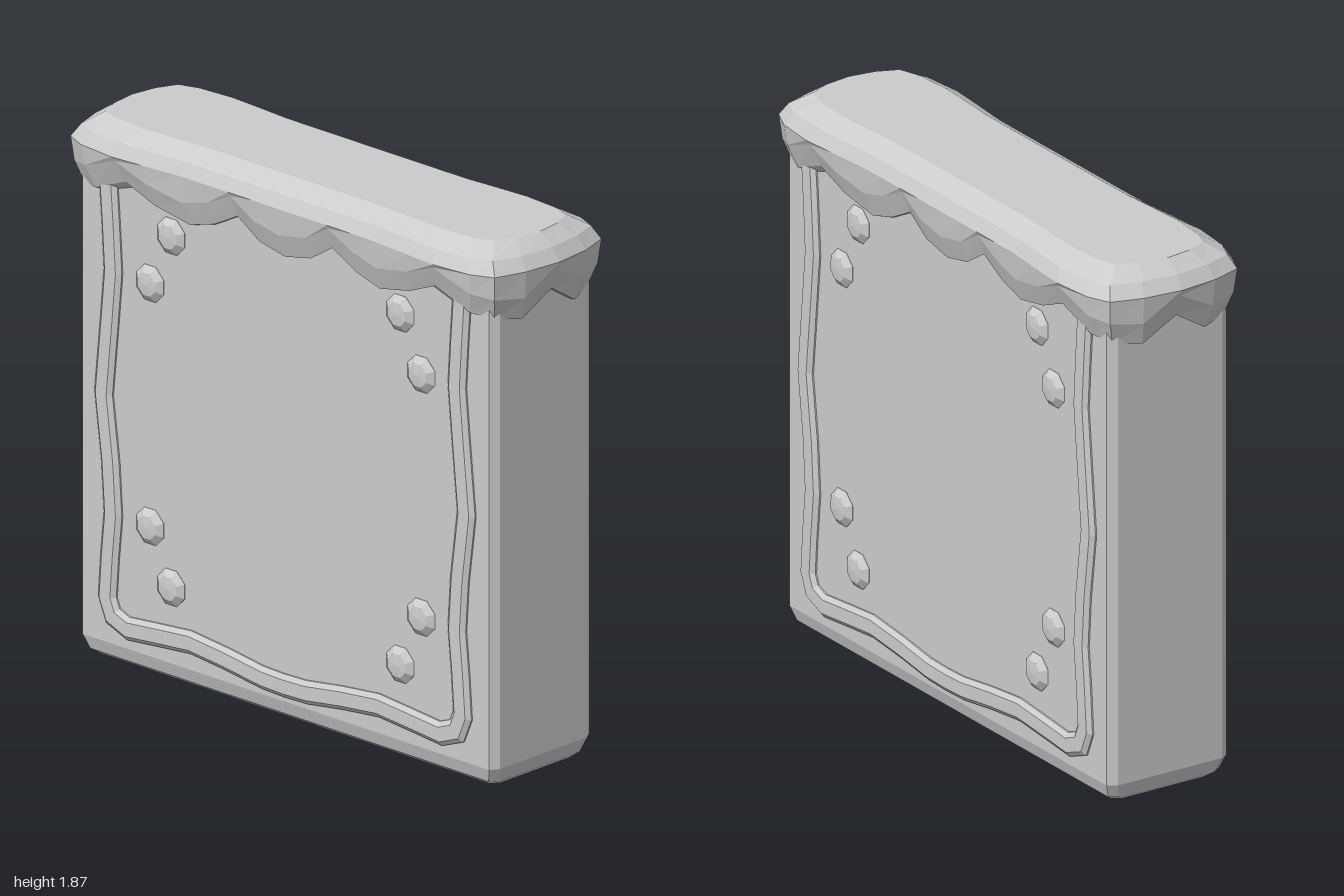
import * as THREE from 'three';

const material = new THREE.MeshStandardMaterial({ color: 0xcccccc, flatShading: true });

function addMesh(parent, name, geometry) {
  const mesh = new THREE.Mesh(geometry, material);
  mesh.name = name;
  parent.add(mesh);
  return mesh;
}

// Skin a stack of closed rings and cap both ends with fans
function loft(rings) {
  const n = rings[0].length, last = rings.length - 1;
  const positions = rings.flat(2), index = [];
  for (let i = 0; i < last; i++) {
    for (let j = 0; j < n; j++) {
      const k = (j + 1) % n, a = i * n, b = a + n;
      index.push(a + j, a + k, b + k, a + j, b + k, b + j);
    }
  }
  for (const end of [0, last]) {
    const centre = positions.length / 3;
    for (let axis = 0; axis < 3; axis++) {
      positions.push(rings[end].reduce((sum, p) => sum + p[axis], 0) / n);
    }
    for (let j = 0; j < n; j++) {
      const a = end * n + j, b = end * n + (j + 1) % n;
      index.push(centre, ...(end ? [a, b] : [b, a]));
    }
  }
  const geometry = new THREE.BufferGeometry();
  geometry.setAttribute('position', new THREE.Float32BufferAttribute(positions, 3));
  geometry.setIndex(index);
  geometry.computeVertexNormals();
  return geometry;
}

// Mirror a quarter outline, running from the front centre to the side, into a loop
function fullLoop(quarter) {
  const half = [...quarter, ...quarter.slice(0, -1).reverse().map(([x, z, ...r]) => [x, -z, ...r])];
  return [...half, ...half.slice(1, -1).reverse().map(([x, ...r]) => [-x, ...r])];
}

// Slab with chamfered vertical edges and a rounded foot
function bodyGeometry() {
  const levels = [[0, 0.89, 0.19], [0.02, 0.912, 0.218], [0.07, 0.93, 0.235], [1.78, 0.93, 0.235]];
  return loft(levels.map(([y, w, d]) =>
    fullLoop([[0, d], [w - 0.02, d], [w, d - 0.03], [w, 0]]).map(([x, z]) => [x, y, z])));
}

// Thick icing cap: each column has x, z and how far its drip hangs (0 to 1)
function capGeometry() {
  const outline = fullLoop([
    [0, 0.275, 1], [0.12, 0.275, 0.72], [0.22, 0.275, 0], [0.33, 0.275, 0.65],
    [0.44, 0.276, 1], [0.59, 0.29, 0.62], [0.72, 0.3, 0], [0.87, 0.285, 0.7],
    [0.95, 0.25, 0.85], [0.985, 0.14, 1], [1, 0, 0.1],
  ]);
  // height, drip drop, x scale, z scale
  const levels = [
    [1.695, 0.085, 0.965, 0.87], [1.77, 0.08, 0.99, 0.97],
    [1.785, 0, 1, 1], [1.83, 0, 0.97, 0.92], [1.87, 0, 0.915, 0.68],
  ];
  return loft(levels.map(([y, drop, sx, sz]) =>
    outline.map(([x, z, drip]) => [x * sx, y - drop * drip, z * sz])));
}

// Wavy raised border swept down one side, along the bottom and up the other
function trimGeometry() {
  const right = [
    [0, 0.127], [0.1, 0.13], [0.26, 0.152], [0.42, 0.168], [0.56, 0.156], [0.7, 0.143],
    [0.77, 0.17], [0.795, 0.23], [0.785, 0.37], [0.77, 0.52], [0.782, 0.7],
    [0.812, 0.93], [0.785, 1.2], [0.77, 1.36], [0.78, 1.52], [0.795, 1.72],
  ];
  const path = [...right.slice(1).reverse().map(([x, y]) => [-x, y]), ...right]
    .map(([x, y]) => new THREE.Vector2(x, y));
  const section = [[-0.042, 0.22], [0.042, 0.22], [0.04, 0.24], [0.024, 0.253], [-0.024, 0.253], [-0.04, 0.24]];
  return loft(path.map((p, i) => {
    const a = path[Math.max(i - 1, 0)], b = path[Math.min(i + 1, path.length - 1)];
    const t1 = (i ? p : b).clone().sub(i ? a : p).normalize();
    const t2 = (p === b ? p : b).clone().sub(p === b ? a : p).normalize();
    const t = t1.clone().add(t2).normalize();
    const mitre = 1 / t.dot(t1);
    return section.map(([s, z]) => [p.x - t.y * s * mitre, p.y + t.x * s * mitre, z]);
  }));
}

// Low eight-sided dome
function studGeometry() {
  const profile = [[0.068, 0], [0.066, 0.016], [0.042, 0.034], [0, 0.038]];
  const geometry = new THREE.LatheGeometry(profile.map(([r, h]) => new THREE.Vector2(r, h)), 8, Math.PI / 8);
  return geometry.rotateX(Math.PI / 2);
}

export function createModel() {
  const model = new THREE.Group();
  model.name = 'icedSlab';
  addMesh(model, 'body', bodyGeometry());
  addMesh(model, 'icingCap', capGeometry());

  // The same decoration on the front and the back
  const trim = trimGeometry(), stud = studGeometry();
  for (const side of ['front', 'back']) {
    const face = new THREE.Group();
    face.name = side + 'Decoration';
    face.rotation.y = side === 'back' ? Math.PI : 0;
    addMesh(face, side + 'Trim', trim);
    for (const [x, y] of [[0.513, 1.547], [0.607, 1.36], [0.607, 0.52], [0.513, 0.333]]) {
      for (const sign of [-1, 1]) {
        addMesh(face, side + 'Stud', stud).position.set(sign * x, y, 0.22);
      }
    }
    model.add(face);
  }
  return model;
}
